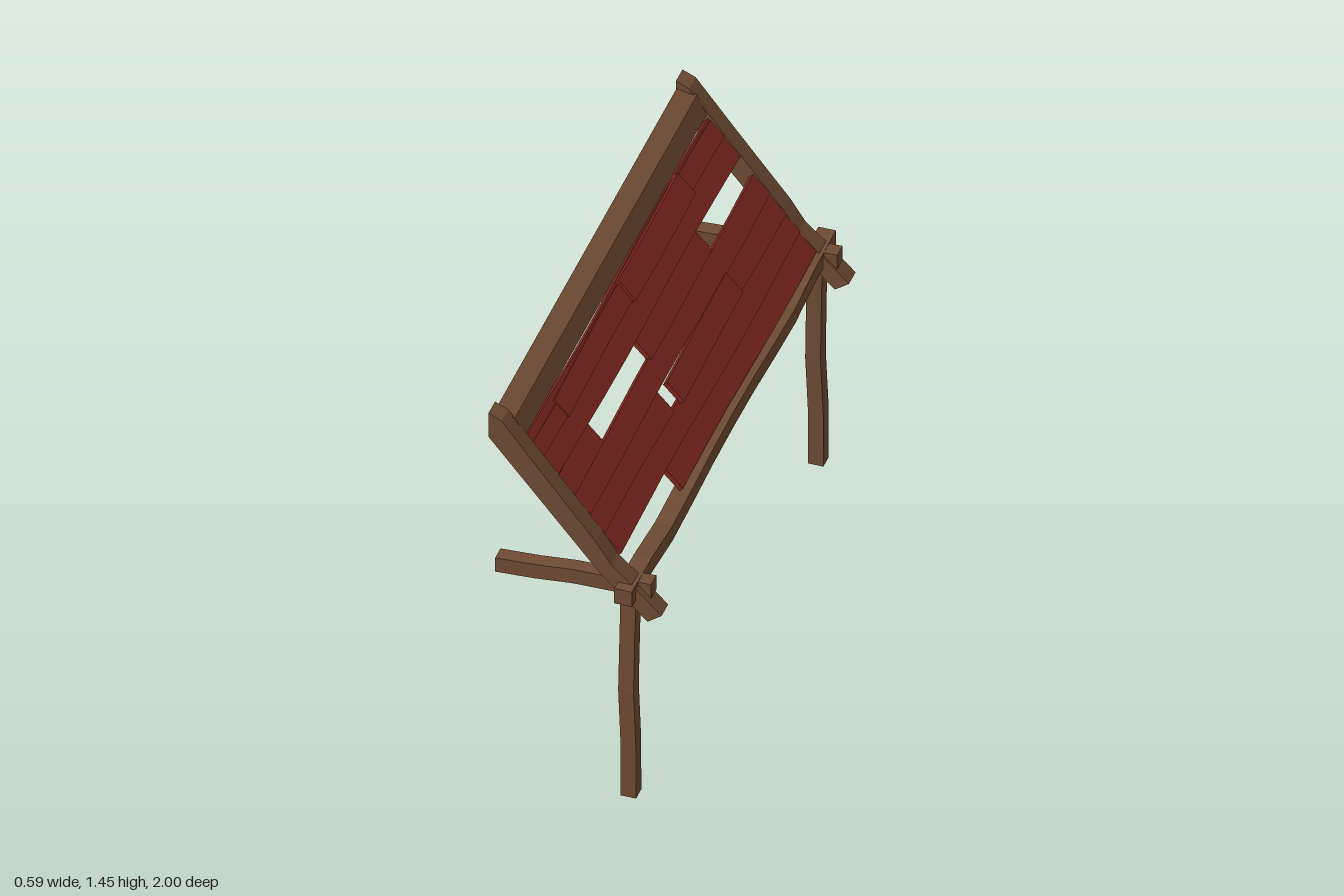
import * as THREE from 'three';

const wood = new THREE.MeshStandardMaterial({ color: 0x6f4b34, flatShading: true });
const paint = new THREE.MeshStandardMaterial({ color: 0x7d261f, flatShading: true });

// Box divided along one axis, its cross-sections shifted by evenly spaced [x, y, z] offsets
function bentBox(size, axis, offsets) {
  const seg = [1, 1, 1];
  seg[axis] = offsets.length - 1;
  const geo = new THREE.BoxGeometry(...size, ...seg);
  const pos = geo.attributes.position;
  for (let i = 0; i < pos.count; i++) {
    const t = pos.getComponent(i, axis) / size[axis] + 0.5;
    const o = offsets[Math.round(t * (offsets.length - 1))];
    for (let k = 0; k < 3; k++) pos.setComponent(i, k, pos.getComponent(i, k) + o[k]);
  }
  return geo;
}

// Side profile in x, y drawn out between two z values
function profile(points, z0, z1) {
  const shape = new THREE.Shape(points.map(p => new THREE.Vector2(...p)));
  return new THREE.ExtrudeGeometry(shape, { depth: z1 - z0, bevelEnabled: false }).translate(0, 0, z0);
}

export function createModel() {
  const group = new THREE.Group();
  const add = (name, geo, mat = wood) => {
    const mesh = new THREE.Mesh(geo, mat);
    mesh.name = name;
    group.add(mesh);
    return mesh;
  };

  // Two end frames: post, wall arm and sloping rafter
  const ends = [
    { side: 'left', post: [0.93, 0.932, 0.932, 0.922, 0.92], arm: 0.914, rafter: [0.898, 0.963] },
    { side: 'right', post: [-0.905, -0.904, -0.9, -0.905, -0.905], arm: -0.907, rafter: [-0.938, -0.873] },
  ];
  const postX = [0.178, 0.178, 0.17, 0.171, 0.175];
  const armY = [0.816, 0.823, 0.836, 0.838, 0.842];
  const rafterOutline = [
    [-0.295, 1.35], [0.085, 0.89], [0.245, 0.735], [0.293, 0.77], [0.195, 0.868],
    [0.122, 0.935], [0.07, 1.015], [-0.115, 1.25], [-0.25, 1.425], [-0.295, 1.445],
  ];
  for (const { side, post, arm, rafter } of ends) {
    add(side + 'Post', bentBox([0.052, 0.86, 0.052], 1, post.map((z, i) => [postX[i], 0.43, z])));
    add(side + 'WallArm', bentBox([0.53, 0.056, 0.052], 0, armY.map(y => [-0.015, y, arm])));
    add(side + 'Rafter', profile(rafterOutline, ...rafter));
  }

  // Sagging front beam and upper ridge beam
  const sag = [0.842, 0.838, 0.818, 0.826, 0.838, 0.842];
  const beamY = [...sag, ...sag.slice(0, -1).reverse()];
  add('frontBeam', bentBox([0.06, 0.06, 2], 2, beamY.map(y => [0.175, y, 0])));
  add('ridgeBeam', profile([
    [-0.295, 1.355], [-0.255, 1.31], [-0.19, 1.337], [-0.225, 1.402], [-0.293, 1.415],
  ], -0.88, 0.905));

  // Roof planks: [row, z start, z end, width, shift down slope, lift]
  const W = 0.086;
  const planks = [
    [-0.3, -0.875, 0.895, 0.03, 0, -0.006],
    [0, -0.875, -0.55, 0.072, 0.008, 0],
    [0, -0.555, 0.035, 0.09, 0.003, 0.013],
    [0, 0.02, 0.67, 0.075, 0.01, 0.004],
    [0, 0.66, 0.895, 0.058, 0.016, 0],
    [1, -0.875, 0.895, W, 0, 0],
    [2, -0.455, 0.145, W, 0, 0],
    [2, 0.605, 0.895, W, 0, 0],
    [3, -0.875, 0.895, W, 0, 0],
    [4, -0.875, -0.42, W, 0, 0],
    [4, -0.43, 0.165, W, 0.004, 0.012],
    [4, 0.22, 0.895, W, 0, 0],
    [5, -0.875, 0.895, W, 0, 0],
    [6, -0.875, 0.435, W, 0, 0],
  ];
  const slope = Math.atan2(0.0653, 0.052);
  const down = [Math.cos(slope), -Math.sin(slope)];
  planks.forEach(([row, z0, z1, width, shift, lift], n) => {
    const steps = Math.max(2, Math.round((z1 - z0) / 0.22));
    const wave = Array.from({ length: steps + 1 }, (_, i) => {
      const z = z0 + (z1 - z0) * i / steps;
      return [0.004 * Math.sin(z * 5 + n * 1.3), 0, 0];
    });
    const mesh = add('roofPlank' + (n + 1), bentBox([width, 0.018, z1 - z0], 2, wave), paint);
    // Slightly flatter than the roof so each lower edge laps over the next row
    mesh.rotation.z = -slope + 0.08;
    mesh.position.set(
      -0.165 + 0.052 * row + down[0] * shift - down[1] * lift,
      1.29 - 0.0653 * row + down[1] * shift + down[0] * lift,
      (z0 + z1) / 2,
    );
  });

  return group;
}
